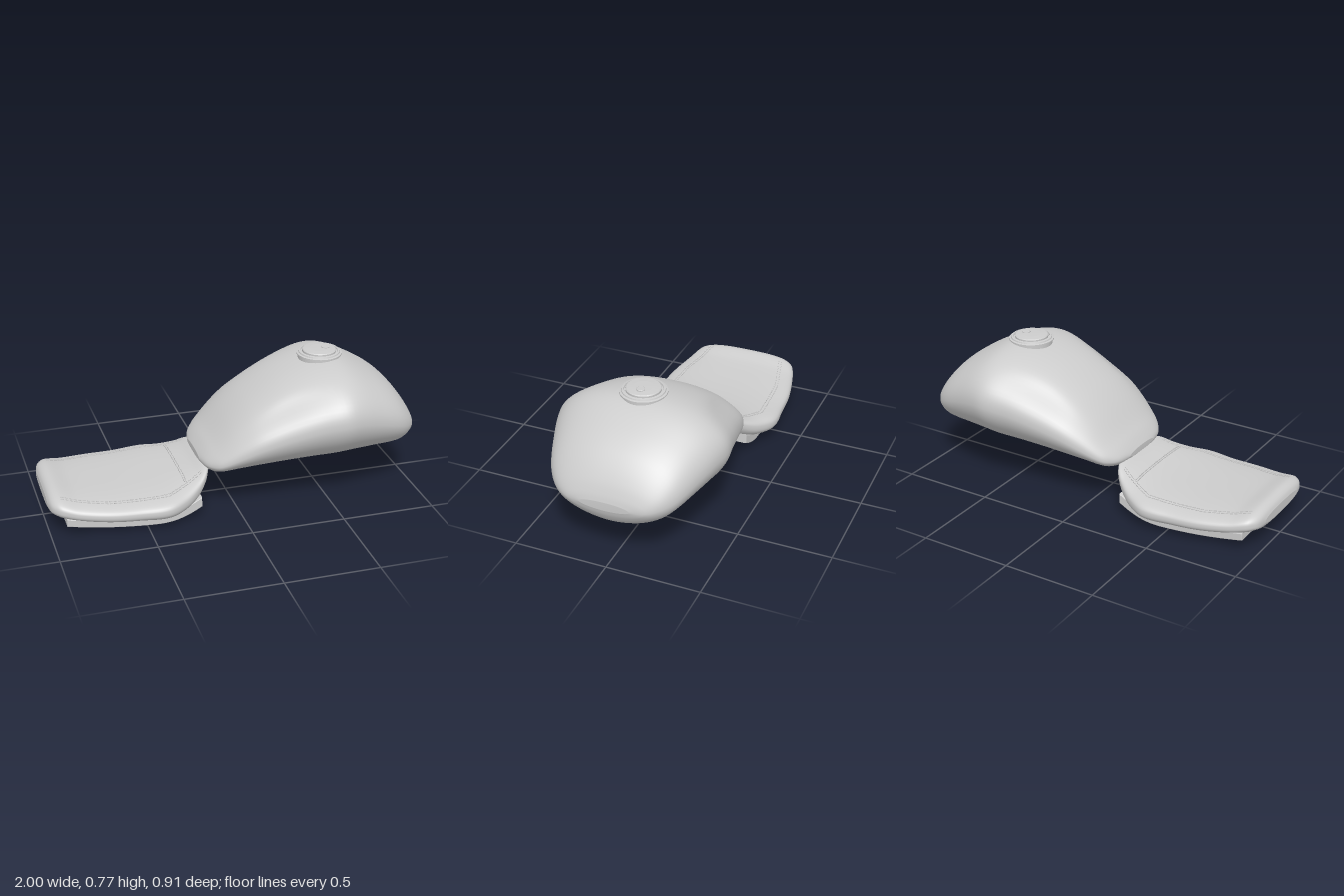
import * as THREE from 'three';

// Smooth interpolation of station rows [x, bottom, top, widestY, halfWidth]
function sample(rows, x) {
  let i = 0;
  while (i < rows.length - 2 && x > rows[i + 1][0]) i++;
  const a = rows[i], b = rows[i + 1], p = rows[i - 1] || a, n = rows[i + 2] || b;
  const h = b[0] - a[0], t = Math.min(1, Math.max(0, (x - a[0]) / h));
  return a.map((v, k) => {
    if (k === 0) return x;
    const m0 = ((b[k] - p[k]) / (b[0] - p[0])) * h, m1 = ((n[k] - v) / (n[0] - a[0])) * h;
    const t2 = t * t, t3 = t2 * t;
    return (2 * t3 - 3 * t2 + 1) * v + (t3 - 2 * t2 + t) * m0 + (3 * t2 - 2 * t3) * b[k] + (t3 - t2) * m1;
  });
}

// Closed loft of rounded sections along x; upper and lower halves have their own roundness
function loft(rows, upper, lower, dent = () => 1, steps = 70, around = 72) {
  const pos = [], index = [];
  const x0 = rows[0][0], x1 = rows[rows.length - 1][0];
  for (let i = 0; i <= steps; i++) {
    const x = x0 + (x1 - x0) * (1 - Math.cos((Math.PI * i) / steps)) / 2;
    const [, bottom, top, mid, half] = sample(rows, x);
    for (let j = 0; j < around; j++) {
      const t = (j / around) * Math.PI * 2, c = Math.cos(t), s = Math.sin(t);
      const e = 2 / (s >= 0 ? upper : lower);
      const rise = Math.pow(Math.abs(s), e);
      const y = s >= 0 ? mid + (top - mid) * rise : mid - (mid - bottom) * rise;
      const z = half * Math.sign(c) * Math.pow(Math.abs(c), e);
      pos.push(x, y, z * dent(x, Math.atan2(s, Math.abs(c))));
    }
  }
  for (let i = 0; i < steps; i++) {
    for (let j = 0; j < around; j++) {
      const k = (j + 1) % around, a = i * around + j, b = i * around + k;
      index.push(a, a + around, b, b, a + around, b + around);
    }
  }
  // End caps
  const first = pos.length / 3, last = steps * around;
  pos.push(x0, rows[0][3], 0, x1, rows[rows.length - 1][3], 0);
  for (let j = 0; j < around; j++) {
    const k = (j + 1) % around;
    index.push(first, j, k, first + 1, last + k, last + j);
  }
  const g = new THREE.BufferGeometry();
  g.setAttribute('position', new THREE.Float32BufferAttribute(pos, 3));
  g.setIndex(index);
  g.computeVertexNormals();
  return g;
}

const TANK = [
  [-0.18, 0.25, 0.285, 0.265, 0.12], [-0.165, 0.225, 0.305, 0.265, 0.19],
  [-0.14, 0.205, 0.335, 0.27, 0.24], [-0.1, 0.19, 0.375, 0.285, 0.285],
  [0, 0.192, 0.485, 0.34, 0.335], [0.1, 0.194, 0.57, 0.39, 0.37],
  [0.25, 0.198, 0.66, 0.44, 0.402], [0.4, 0.203, 0.715, 0.48, 0.432],
  [0.53, 0.208, 0.737, 0.5, 0.455], [0.62, 0.211, 0.728, 0.495, 0.438],
  [0.75, 0.215, 0.67, 0.46, 0.395], [0.85, 0.218, 0.605, 0.425, 0.355],
  [0.91, 0.226, 0.545, 0.4, 0.318], [0.96, 0.262, 0.475, 0.38, 0.265],
  [0.99, 0.31, 0.415, 0.365, 0.2], [1, 0.34, 0.385, 0.362, 0.13]
];
const SEAT = [
  [-1, 0.125, 0.175, 0.15, 0.18], [-0.99, 0.11, 0.195, 0.15, 0.235],
  [-0.97, 0.1, 0.21, 0.15, 0.27], [-0.94, 0.088, 0.214, 0.146, 0.295],
  [-0.85, 0.07, 0.192, 0.13, 0.325], [-0.7, 0.05, 0.18, 0.118, 0.358],
  [-0.55, 0.038, 0.177, 0.112, 0.37], [-0.4, 0.03, 0.185, 0.115, 0.38],
  [-0.3, 0.045, 0.203, 0.127, 0.335], [-0.22, 0.085, 0.23, 0.165, 0.28],
  [-0.17, 0.15, 0.258, 0.21, 0.23], [-0.145, 0.21, 0.266, 0.24, 0.18]
];
const SEAT_ROUND = 2.8;

function seatHeight(x, z) {
  const [, , top, mid, half] = sample(SEAT, x);
  const r = Math.min(1, Math.abs(z) / half);
  return mid + (top - mid) * Math.pow(1 - Math.pow(r, SEAT_ROUND), 1 / SEAT_ROUND);
}

export function createModel() {
  const model = new THREE.Group();
  const grey = new THREE.MeshStandardMaterial({ color: 0xcccccc });
  grey.name = 'plain grey';
  const add = (name, geometry, parent = model) => {
    const mesh = new THREE.Mesh(geometry, grey);
    mesh.name = name;
    parent.add(mesh);
    return mesh;
  };

  // Fuel tank with a knee hollow on each side
  const knee = (x, t) => 1 - 0.11 * Math.exp(-(((x - 0.25) / 0.2) ** 2) - ((t - 0.68) / 0.28) ** 2);
  add('fuelTank', loft(TANK, 2.2, 1.85, knee));

  // Filler cap: stepped collar, lid and lock
  const cap = new THREE.Group();
  cap.name = 'fillerCap';
  cap.position.set(0.52, 0, 0);
  model.add(cap);
  const ring = [[0.113, 0.69], [0.113, 0.738], [0.121, 0.74], [0.121, 0.747], [0.111, 0.75],
    [0.109, 0.756], [0.098, 0.758], [0.096, 0.752], [0.09, 0.752]];
  const lid = [[0.09, 0.745], [0.09, 0.762], [0.085, 0.766], [0.05, 0.769], [0, 0.77]];
  const lock = [[0.022, 0.765], [0.022, 0.773], [0.019, 0.775], [0, 0.775]];
  const turn = pts => {
    // Separate bands keep the steps crisp
    const g = new THREE.LatheGeometry(pts.map(p => new THREE.Vector2(...p)), 48).toNonIndexed();
    g.computeVertexNormals();
    return g;
  };
  add('capCollar', turn(ring), cap);
  add('capLid', turn(lid), cap);
  add('capLock', turn(lock), cap).position.x = 0.035;

  // Seat cushion
  add('seatCushion', loft(SEAT, SEAT_ROUND, 2.5));

  // Seat base pan, a curved slab across the cushion
  const pan = new THREE.Shape();
  pan.moveTo(-0.915, 0.1);
  pan.lineTo(-0.915, 0.066);
  pan.bezierCurveTo(-0.75, 0.03, -0.6, 0.012, -0.45, 0.005);
  pan.bezierCurveTo(-0.36, 0.002, -0.3, 0.02, -0.21, 0.072);
  pan.lineTo(-0.21, 0.118);
  pan.bezierCurveTo(-0.3, 0.065, -0.36, 0.05, -0.45, 0.05);
  pan.bezierCurveTo(-0.6, 0.055, -0.75, 0.07, -0.915, 0.1);
  const panGeometry = new THREE.ExtrudeGeometry(pan, {
    depth: 0.55, bevelEnabled: true, bevelSize: 0.004, bevelThickness: 0.005, bevelSegments: 2, curveSegments: 16
  });
  panGeometry.translate(0, 0, -0.275);
  add('seatBase', panGeometry);

  // Stitching: short raised dashes following the cushion
  const stitches = new THREE.Group();
  stitches.name = 'stitching';
  model.add(stitches);
  const dash = new THREE.BoxGeometry(0.005, 0.005, 0.016);
  const sew = (points, step) => {
    for (let i = 0; i < points.length - 1; i++) {
      const [ax, az] = points[i], [bx, bz] = points[i + 1];
      const count = Math.round(Math.hypot(bx - ax, bz - az) / step);
      for (let k = 0; k < count; k++) {
        const at = u => {
          const x = ax + (bx - ax) * u, z = az + (bz - az) * u;
          return new THREE.Vector3(x, seatHeight(x, z) + 0.001, z);
        };
        const start = at(k / count), end = at((k + 1) / count);
        const mesh = add('stitch', dash, stitches);
        mesh.position.copy(start).add(end).multiplyScalar(0.5);
        mesh.lookAt(end);
      }
    }
  };
  for (const side of [1, -1]) {
    for (const inset of [0, 0.016]) {
      sew([[-0.94, 0.225], [-0.7, 0.285], [-0.39, 0.302], [-0.19, 0.205]]
        .map(([x, z]) => [x, side * (z - inset)]), 0.022);
    }
  }
  for (const x of [-0.285, -0.275]) sew([[x, -0.225], [x, 0.225]], 0.019);

  return model;
}
